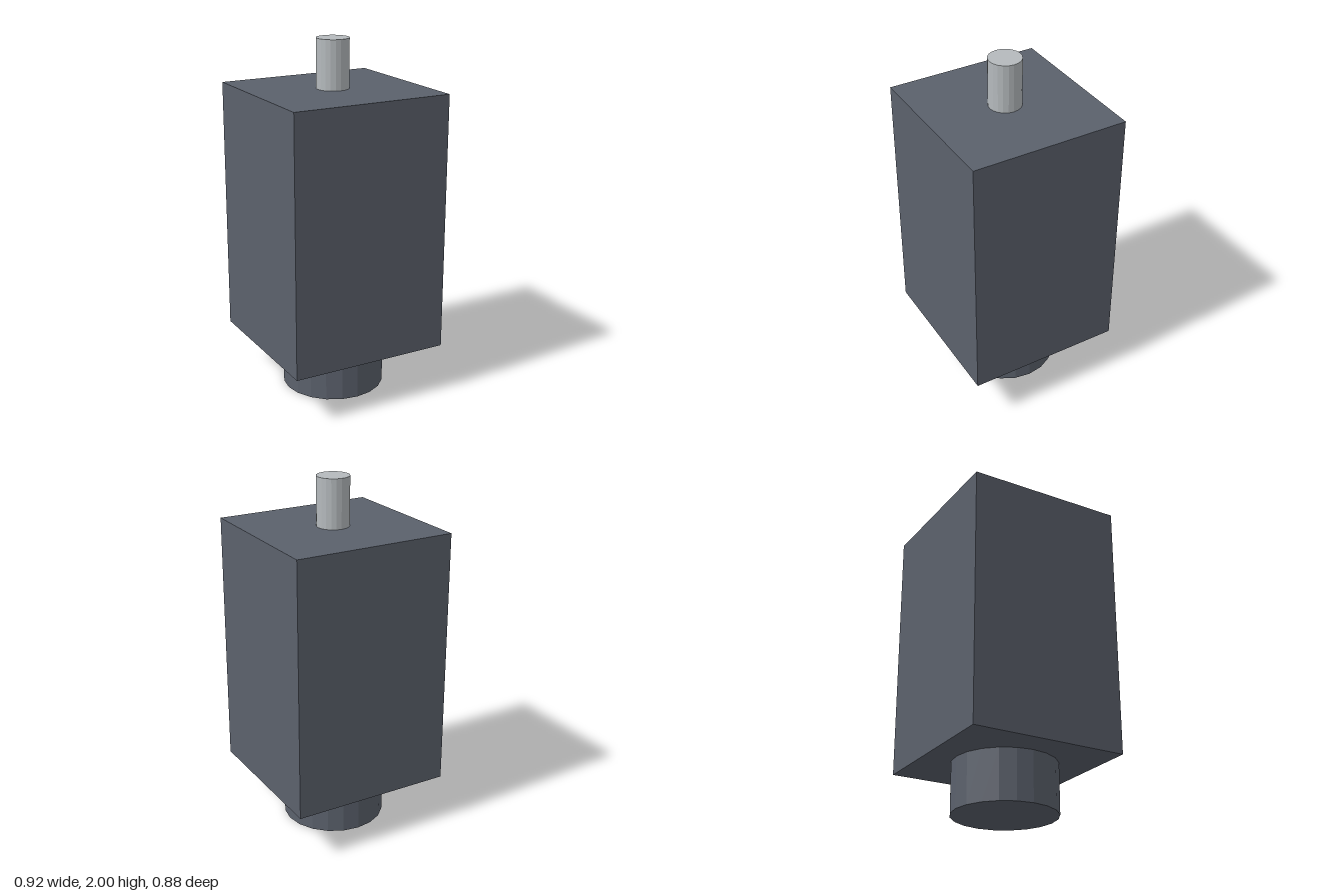
import * as THREE from 'three';

const BODY_COLOR = 0x5b616c;
const SHAFT_COLOR = 0xb5babd;

function part(name, geometry, color, y) {
  const material = new THREE.MeshStandardMaterial({ color, flatShading: true });
  const mesh = new THREE.Mesh(geometry, material);
  mesh.name = name;
  mesh.position.y = y;
  return mesh;
}

// 20-sided upright cylinder between two heights
function drum(name, radius, bottom, top, color) {
  const geometry = new THREE.CylinderGeometry(radius, radius, top - bottom, 20);
  return part(name, geometry, color, (bottom + top) / 2);
}

export function createModel() {
  const model = new THREE.Group();
  model.name = 'motor';

  const bottom = 0.28;
  const top = 1.727;

  // Round foot, rectangular housing, and output shaft
  model.add(
    drum('base', 0.29, 0, bottom, BODY_COLOR),
    part('housing', new THREE.BoxGeometry(0.916, top - bottom, 0.884), BODY_COLOR, (bottom + top) / 2),
    drum('shaft', 0.091, top, 2, SHAFT_COLOR),
  );
  return model;
}
